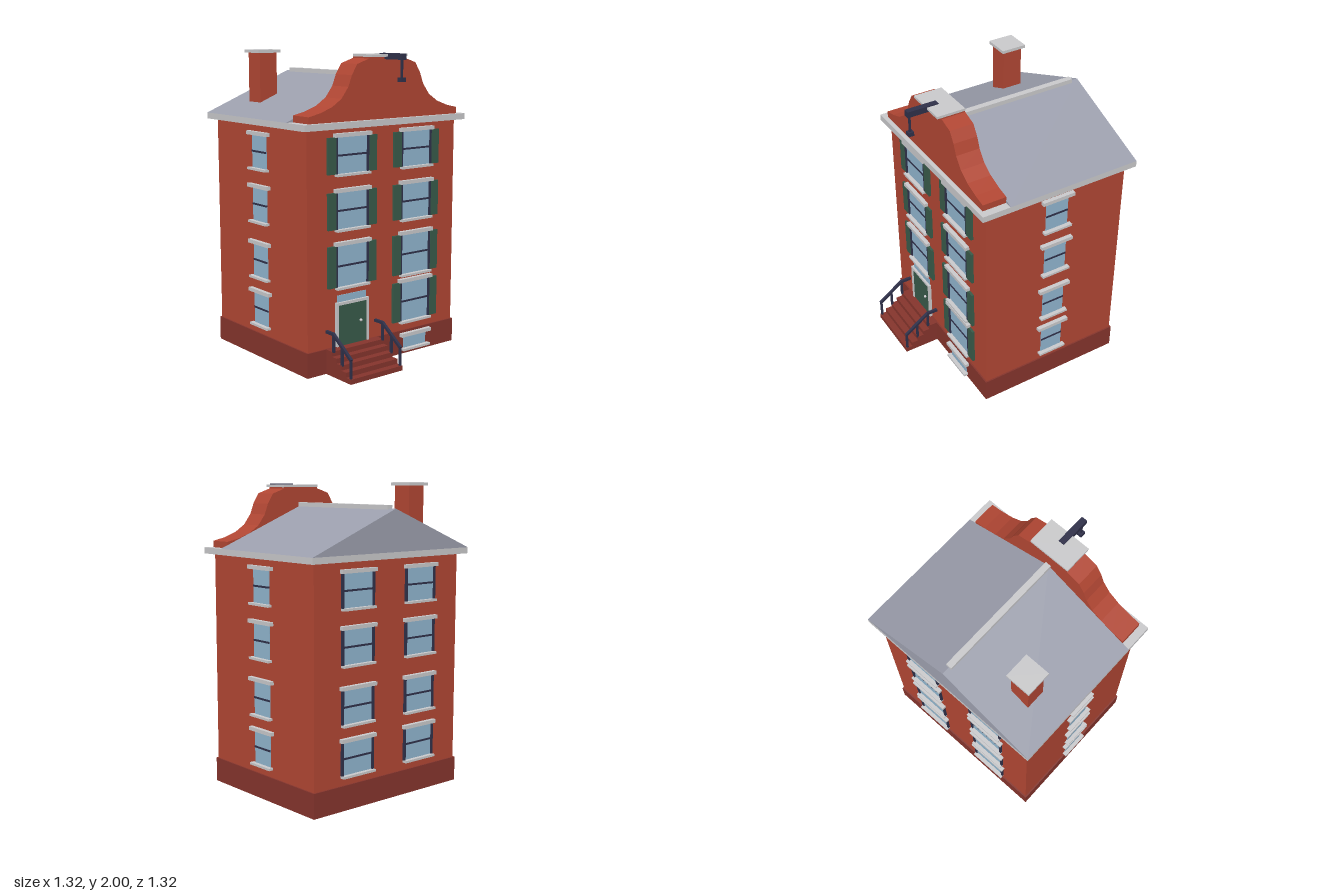
import * as THREE from 'three';

const mat = (name, color) => Object.assign(new THREE.MeshStandardMaterial({ color }), { name });

export function createModel() {
  const brick = mat('brick red', 0xb04633);
  const plinthRed = mat('dark brick', 0x84342c);
  const trim = mat('pale stone', 0xc8c8ca);
  const slate = mat('slate grey', 0x9b9eac);
  const glass = mat('window blue', 0x8fb4cd);
  const green = mat('shutter green', 0x385a49);
  const iron = mat('dark iron', 0x2f3049);

  const house = new THREE.Group();
  house.name = 'townhouse';

  const add = (parent, name, geometry, material) => {
    const mesh = new THREE.Mesh(geometry, material);
    mesh.name = name;
    parent.add(mesh);
    return mesh;
  };
  // Box given by its minimum and maximum on each axis
  const box = (parent, name, material, x0, x1, y0, y1, z0, z1) => {
    const mesh = add(parent, name, new THREE.BoxGeometry(x1 - x0, y1 - y0, z1 - z0), material);
    mesh.position.set((x0 + x1) / 2, (y0 + y1) / 2, (z0 + z1) / 2);
    return mesh;
  };
  // Outline in the xy plane, extruded from z0 to z1
  const slab = (name, material, points, z0, z1) => {
    const shape = new THREE.Shape(points.map(([x, y]) => new THREE.Vector2(x, y)));
    const geometry = new THREE.ExtrudeGeometry(shape, { depth: z1 - z0, bevelEnabled: false });
    add(house, name, geometry, material).position.z = z0;
  };

  // Main masses
  box(house, 'plinth', plinthRed, -0.62, 0.62, 0, 0.16, -0.62, 0.41);
  box(house, 'walls', brick, -0.61, 0.61, 0.16, 1.54, -0.61, 0.4);
  box(house, 'cornice', trim, -0.66, 0.66, 1.54, 1.58, -0.66, 0.45);

  // Roof and ridge
  slab('roof', slate, [[-0.66, 1.58], [0.66, 1.58], [0, 1.845]], -0.66, 0.262);
  box(house, 'ridgeCap', trim, -0.02, 0.02, 1.83, 1.865, -0.607, 0.262);

  // Bell-shaped front gable, mirrored about the middle
  const half = [[0.608, 1.58], [0.608, 1.622], [0.525, 1.64], [0.434, 1.672], [0.36, 1.72], [0.307, 1.79],
    [0.28, 1.86], [0.238, 1.926], [0.143, 1.957], [0.143, 1.967]];
  slab('frontGable', brick, [...half, ...half.map(([x, y]) => [-x, y]).reverse()], 0.26, 0.42);
  box(house, 'gableCap', trim, -0.145, 0.145, 1.966, 1.982, 0.26, 0.45);

  // Chimney
  box(house, 'chimney', brick, -0.465, -0.333, 1.6, 1.98, -0.44, -0.308);
  box(house, 'chimneyCap', trim, -0.485, -0.315, 1.98, 2, -0.46, -0.29);

  // Hoist beam with its line and hook
  const hoist = new THREE.Group();
  hoist.name = 'hoist';
  house.add(hoist);
  box(hoist, 'hoistBeam', iron, -0.02, 0.02, 1.95, 1.988, 0.37, 0.58);
  box(hoist, 'hoistLine', iron, -0.006, 0.006, 1.83, 1.95, 0.554, 0.566);
  box(hoist, 'hoistHook', iron, -0.018, 0.018, 1.815, 1.842, 0.542, 0.578);

  // Window on a wall: local z points outward, local x runs along the wall
  const addWindow = (name, x, z, turn, y0, y1, w, { jambs = false, shutters = false, rail = true, over = 0.025 } = {}) => {
    const g = new THREE.Group();
    g.name = name;
    g.position.set(x, 0, z);
    g.rotation.y = turn;
    house.add(g);
    const h = w / 2;
    box(g, 'pane', glass, -h, h, y0, y1, -0.003, 0.005);
    if (rail) box(g, 'midRail', iron, -h, h, (y0 + y1) / 2 - 0.006, (y0 + y1) / 2 + 0.006, 0, 0.009);
    box(g, 'lintel', trim, -h - over, h + over, y1, y1 + 0.024, 0, 0.028);
    box(g, 'sill', trim, -h - over * 0.6, h + over * 0.6, y0 - 0.015, y0, 0, 0.032);
    for (const s of [-1, 1]) {
      const strip = (part, material, a, b, depth) =>
        box(g, part, material, Math.min(s * a, s * b), Math.max(s * a, s * b), y0, y1, 0, depth);
      if (jambs) strip('jamb', iron, h, h + 0.015, 0.014);
      if (shutters) strip('shutter', green, h + 0.013, h + 0.076, 0.016);
    }
  };

  // Rows: sill height, top of front windows, top of side and back windows
  const rows = [[1.26, 1.487, 1.47], [0.914, 1.145, 1.13], [0.545, 0.81, 0.76], [0.225, 0.49, 0.435]];
  const col = 0.266;
  rows.forEach(([y0, front, other], i) => {
    for (const s of [-1, 1]) {
      if (i < 3 || s > 0) addWindow('frontWindow', s * col, 0.4, 0, y0, front, 0.235, { jambs: true, shutters: true });
      addWindow('backWindow', s * col, -0.61, Math.PI, y0, other, 0.235, { jambs: true });
      addWindow('sideWindow', s * 0.61, -0.105, s * Math.PI / 2, y0, other, 0.16, { over: 0.035 });
    }
  });
  addWindow('basementWindow', col, 0.41, 0, 0.04, 0.12, 0.196, { rail: false, over: 0.032 });

  // Front door with frame, fanlight and knob
  const door = new THREE.Group();
  door.name = 'frontDoor';
  door.position.set(-col, 0, 0.4);
  house.add(door);
  box(door, 'doorLeaf', green, -0.114, 0.114, 0.16, 0.43, 0, 0.012);
  for (const s of [-1, 1]) box(door, 'doorPost', trim, s * 0.122 - 0.008, s * 0.122 + 0.008, 0.16, 0.43, 0, 0.02);
  box(door, 'doorHead', trim, -0.13, 0.13, 0.428, 0.446, 0, 0.02);
  box(door, 'fanlight', glass, -0.114, 0.114, 0.446, 0.49, -0.003, 0.005);
  add(door, 'doorKnob', new THREE.SphereGeometry(0.01, 12, 8), trim).position.set(0.065, 0.303, 0.018);

  // Front steps
  for (let i = 0; i < 5; i++) {
    box(house, 'step', plinthRed, -0.475, -0.057, i * 0.032, (i + 1) * 0.032, 0.4, 0.657 - i * 0.0468);
  }

  // Railings on both sides of the steps
  for (const x of [-0.465, -0.067]) {
    const g = new THREE.Group();
    g.name = 'railing';
    house.add(g);
    for (const [z, y0, y1] of [[0.645, 0.03, 0.155], [0.56, 0.09, 0.212], [0.474, 0.155, 0.27]]) {
      box(g, 'railPost', iron, x - 0.007, x + 0.007, y0, y1, z - 0.007, z + 0.007);
    }
    const dy = 0.12, dz = 0.173;
    const slope = add(g, 'slopedRail', new THREE.BoxGeometry(0.018, 0.018, Math.hypot(dy, dz) + 0.01), iron);
    slope.position.set(x, 0.212, 0.56);
    slope.rotation.x = Math.atan2(dy, dz);
    box(g, 'topRail', iron, x - 0.009, x + 0.009, 0.263, 0.281, 0.4, 0.478);
  }
  return house;
}
